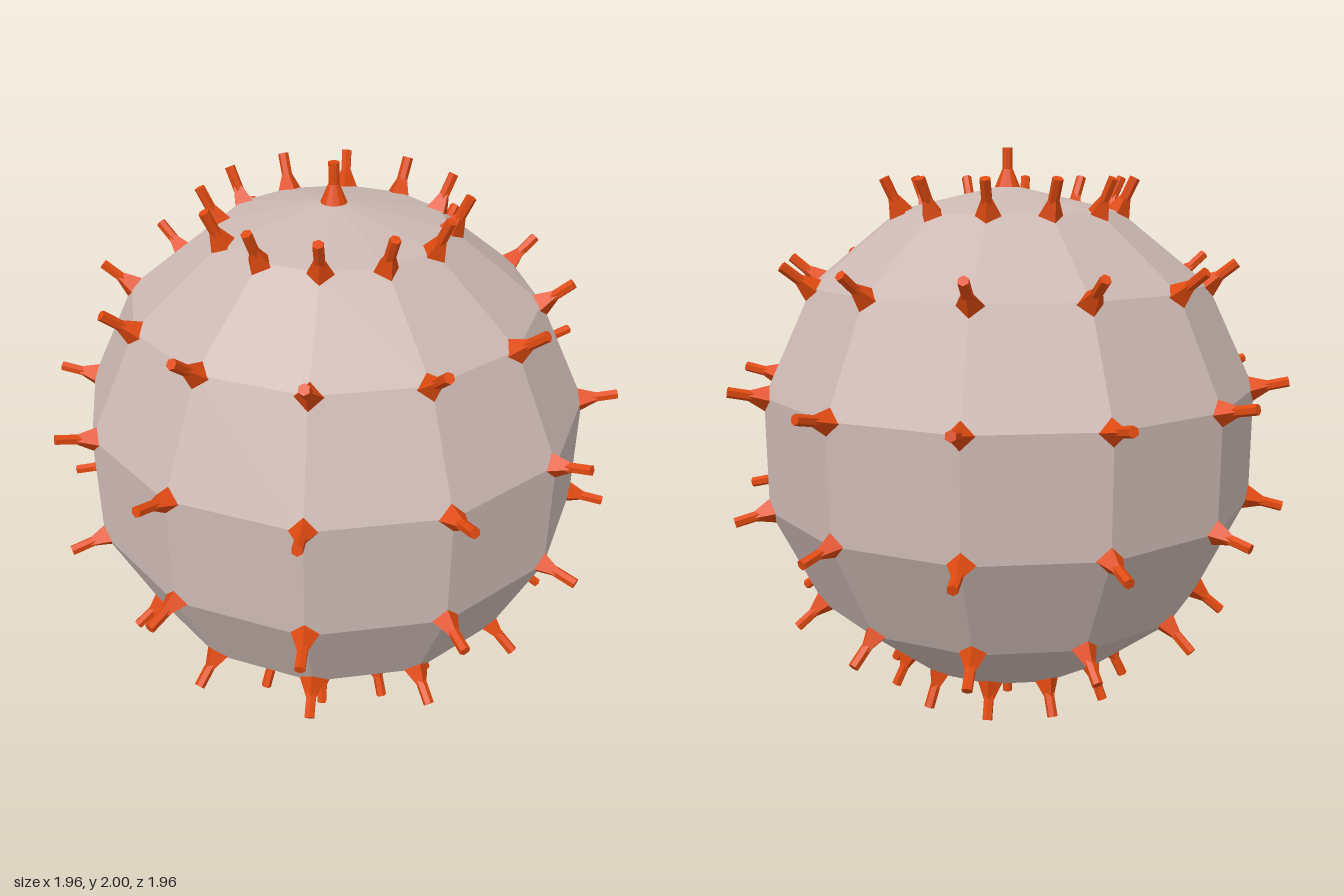
import * as THREE from 'three';

const RADIUS = 0.88, AROUND = 12, BANDS = 7;

export function createModel() {
  const model = new THREE.Group();
  model.name = 'spikedBall';
  const bodyMat = new THREE.MeshStandardMaterial({ color: 0xccb8b2, flatShading: true });
  const spikeMat = new THREE.MeshStandardMaterial({ color: 0xe04a10, flatShading: true });

  // Faceted ball
  const body = new THREE.Mesh(new THREE.SphereGeometry(RADIUS, AROUND, BANDS), bodyMat);
  body.name = 'body';
  body.position.y = 1;
  model.add(body);

  // Spike parts point along +y and sit at their distance from the ball's centre
  const flare = (sides) => new THREE.CylinderGeometry(0.014, 0.048, 0.08, sides).translate(0, 0.9, 0);
  const rod = (sides) => new THREE.CylinderGeometry(0.018, 0.018, 0.12, sides).translate(0, 0.94, 0);
  const ringParts = { spikeBase: flare(4), spikeTip: rod(6) };
  const poleParts = { spikeBase: flare(12), spikeTip: rod(12) };

  function addSpike(parts, tilt, turn, name) {
    const spike = new THREE.Group();
    spike.name = name;
    for (const [part, geometry] of Object.entries(parts)) {
      const mesh = new THREE.Mesh(geometry, spikeMat);
      mesh.name = part;
      spike.add(mesh);
    }
    spike.rotation.set(tilt, turn, 0, 'YXZ');
    spike.position.y = 1;
    model.add(spike);
  }

  // One spike on every corner of the ball
  for (let band = 1; band < BANDS; band++) {
    for (let i = 0; i < AROUND; i++) {
      addSpike(ringParts, (band / BANDS) * Math.PI, (i / AROUND) * Math.PI * 2, 'ringSpike');
    }
  }
  addSpike(poleParts, 0, 0, 'topSpike');
  addSpike(poleParts, Math.PI, 0, 'bottomSpike');

  return model;
}
